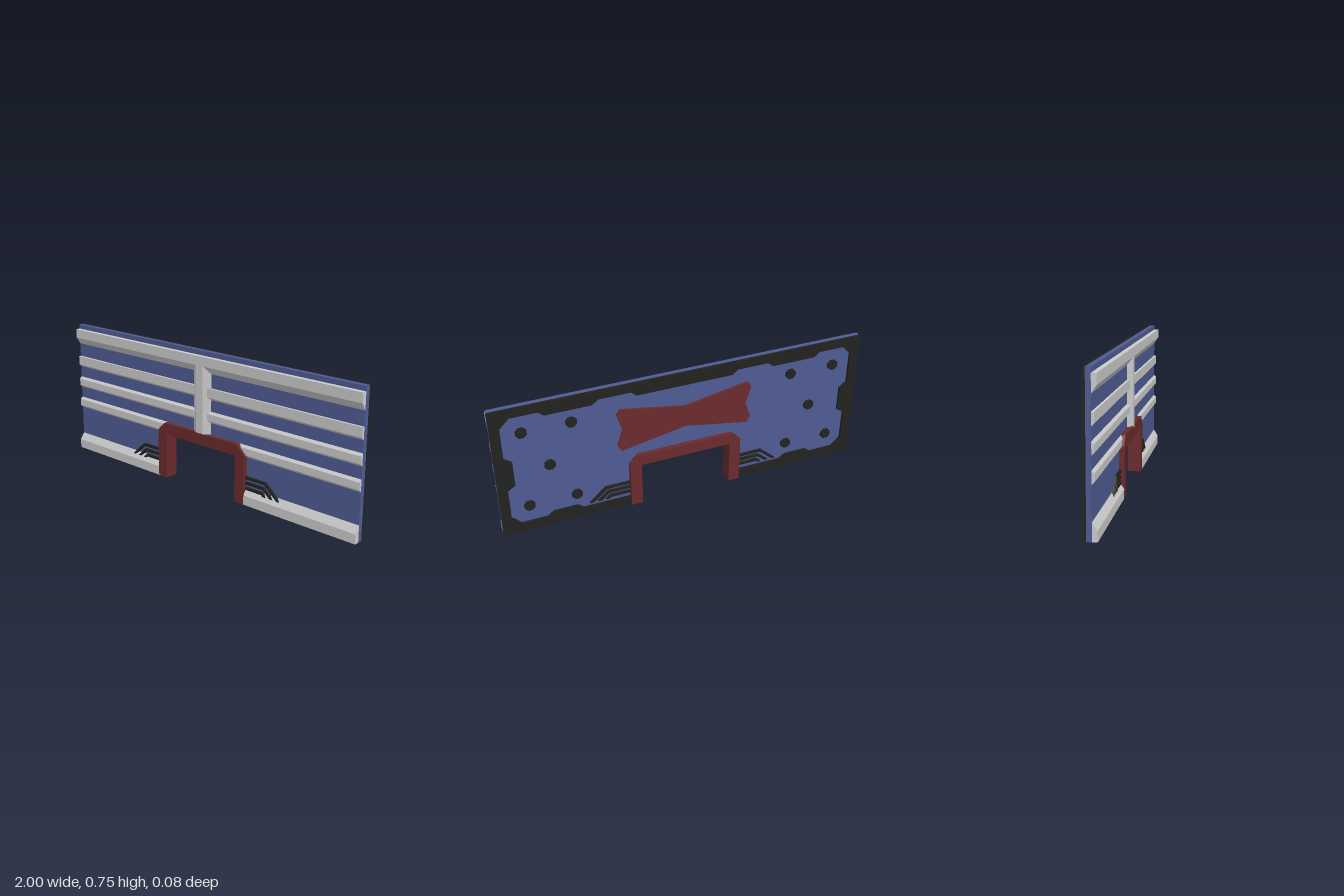
import * as THREE from 'three';

const paint = (color) => new THREE.MeshStandardMaterial({ color, flatShading: true });

export function createModel() {
  const group = new THREE.Group();
  const grey = paint(0xcccccc), blue = paint(0x4e5b93), red = paint(0x6a2a2c), black = paint(0x222220);

  const outline = (pts) => new THREE.Shape(pts.map(([x, y]) => new THREE.Vector2(x, y)));
  const mirrorX = (pts) => [...pts, ...pts.map(([x, y]) => [-x, y]).reverse()];
  const extrude = (shape, depth) => new THREE.ExtrudeGeometry(shape, { depth, bevelEnabled: false });

  function add(name, geometry, material) {
    const mesh = new THREE.Mesh(geometry, material);
    mesh.name = name;
    group.add(mesh);
    return mesh;
  }
  // Outline in x, y with thickness from z0 to z1
  const plate = (name, shape, z0, z1, material) =>
    add(name, extrude(shape, z1 - z0).translate(0, 0, z0), material);
  // Section in z, y run along x from x0 to x1
  const rail = (name, section, x0, x1) =>
    add(name, extrude(outline(section), x1 - x0).rotateY(-Math.PI / 2).translate(x1, 0, 0), grey);

  // Wall panel with doorway
  const wall = (w, h) => mirrorX([[w, h], [w, 0], [1, 0], [1, 0.75]]);
  plate('wallPanel', outline(wall(0.27, 0.27)), -0.0125, 0.0125, blue);

  // Rear border with a notched inner edge, passing behind the door frame
  const border = outline(wall(0.27, 0.27));
  border.holes.push(new THREE.Path(mirrorX([
    [0.29, 0.29], [0.29, 0.05], [0.57, 0.05], [0.6, 0.075], [0.73, 0.075], [0.76, 0.05],
    [0.9, 0.05], [0.95, 0.1], [0.95, 0.275], [0.91, 0.3], [0.91, 0.44], [0.95, 0.47],
    [0.95, 0.65], [0.9, 0.7], [0.76, 0.7], [0.73, 0.675], [0.49, 0.675], [0.46, 0.7],
    [0.29, 0.7], [0.26, 0.675],
  ]).map(([x, y]) => new THREE.Vector2(x, y))));
  plate('rearBorder', border, -0.025, -0.0125, black);

  // Door frame with cut corners
  plate('doorFrame', outline(mirrorX([
    [0.25, 0.25], [0.25, 0], [0.3125, 0], [0.3125, 0.265], [0.265, 0.3125],
  ])), -0.0375, 0.0375, red);

  // Horizontal rails across the front
  const z0 = 0.0125, z1 = 0.025, z2 = 0.0375;
  rail('topRail', [[z0, 0.6375], [z2, 0.675], [z2, 0.725], [z0, 0.725]], -1, 1);
  rail('upperRail', [[z0, 0.5], [z1, 0.5125], [z1, 0.5625], [z0, 0.5625]], -1, 1);
  for (const [name, y] of [['middleRail', 0.375], ['lowerRail', 0.25]]) {
    rail(name, [[z0, y], [z1, y + 0.0125], [z1, y + 0.05], [z0, y + 0.0625]], -1, 1);
  }
  const skirting = [[z0, 0], [z2, 0], [z2, 0.05], [z0, 0.0875]];
  rail('leftSkirting', skirting, 0.3, 1);
  rail('rightSkirting', skirting, -1, -0.3);

  // Bevelled centre pillar
  add('centrePillar', extrude(outline([
    [-0.0625, -z0], [-0.025, -z2], [0.025, -z2], [0.0625, -z0],
  ]), 0.375).rotateX(-Math.PI / 2).translate(0, 0.3, 0), grey);

  // Bent cables beside the door, showing on both faces
  for (const side of [1, -1]) {
    for (const [y, bend, end] of [[0.15, 0.447, 0.537], [0.121, 0.435, 0.493], [0.092, 0.424, 0.45]]) {
      const t = 0.014;
      const pts = [[0.3, y], [bend, y], [end, 0.07], [end - 0.02, 0.07], [bend - 0.006, y - t], [0.3, y - t]];
      plate('cable', outline(pts.map(([x, v]) => [side * x, v])), -0.025, 0.025, black);
    }
  }

  // Rear studs
  for (const side of [1, -1]) {
    for (const [x, y] of [[0.85, 0.6], [0.6, 0.6], [0.725, 0.375], [0.85, 0.15], [0.6, 0.15]]) {
      const stud = add('rearStud', new THREE.CylinderGeometry(0.03, 0.03, 0.0125, 8), black);
      stud.rotation.set(Math.PI / 2, Math.PI / 8, 0);
      stud.position.set(side * x, y, -0.01875);
    }
  }

  // Bow-shaped rear plate
  plate('rearBowPlate', outline(mirrorX([
    [0, 0.425], [0.35, 0.36], [0.37, 0.39], [0.34, 0.485], [0.37, 0.58], [0.35, 0.61], [0, 0.547],
  ].slice(1, 6).reduce((a, p) => [...a, p], [[0.001, 0.425]]).concat([[0.001, 0.547]]))), -0.025, -0.0125, red);

  return group;
}
